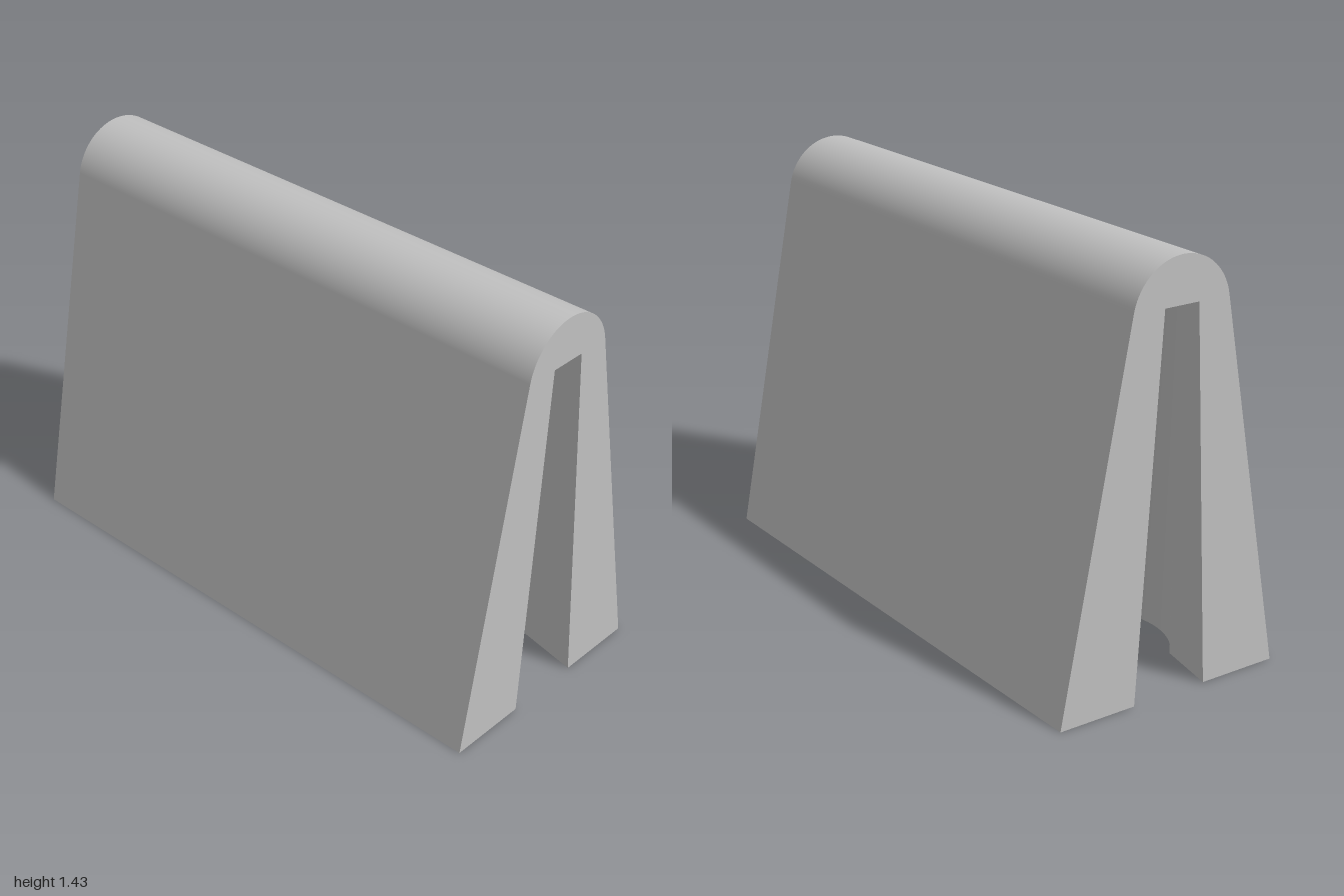
import * as THREE from 'three';

const HALF_LENGTH = 1, HALF_BASE = 0.425, TOP = 1.43;
const SLOT_TOP = 1.275, SLOT_HALF = 0.14, TAPER = 0.464;
const HOLE_R = 0.27, HOLE_DEPTH = 0.415, NECK_HALF = 0.182;

// Smooth strip between two matching rows of points
function loft(a, b) {
  const index = [], n = a.length;
  for (let i = 0; i < n - 1; i++) index.push(i, i + 1, n + i + 1, i, n + i + 1, n + i);
  const geo = new THREE.BufferGeometry().setFromPoints([...a, ...b]);
  geo.setIndex(index);
  geo.computeVertexNormals();
  return geo;
}

// Flat face in the xz plane, facing down
function downFace(points, y) {
  return new THREE.ShapeGeometry(new THREE.Shape(points)).rotateX(Math.PI / 2).translate(0, y, 0);
}

// Outer wedge profile with a rounded ridge, from +x foot to -x foot
function outerProfile() {
  const lean = Math.atan(0.19), r = 0.185, cy = TOP - r;
  const pts = [new THREE.Vector2(HALF_BASE, 0)];
  for (let i = 0; i <= 40; i++) {
    const t = lean + (Math.PI - 2 * lean) * i / 40;
    pts.push(new THREE.Vector2(r * Math.cos(t), cy + r * Math.sin(t)));
  }
  pts.push(new THREE.Vector2(-HALF_BASE, 0));
  return pts;
}

// Round part of the keyhole in (x, z), scaled about the middle of the end edge
function holeArc(s) {
  const t0 = Math.asin(NECK_HALF / HOLE_R), pts = [];
  for (let i = 0; i <= 48; i++) {
    const t = -t0 - (2 * Math.PI - 2 * t0) * i / 48;
    pts.push(new THREE.Vector2(HOLE_R * Math.sin(t) * s,
      HALF_LENGTH - (HOLE_DEPTH - HOLE_R * Math.cos(t)) * s));
  }
  return pts;
}

function keyhole(s) {
  return [new THREE.Vector2(-SLOT_HALF * s, HALF_LENGTH), ...holeArc(s),
    new THREE.Vector2(SLOT_HALF * s, HALF_LENGTH)];
}

export function createModel() {
  const grey = new THREE.MeshStandardMaterial({ color: 0xc0c0c0 });
  grey.name = 'grey';
  const model = new THREE.Group();
  model.name = 'slottedWedge';
  const add = (parent, name, geo) => {
    const mesh = new THREE.Mesh(geo, grey);
    mesh.name = name;
    parent.add(mesh);
  };

  // Sloping sides and rounded ridge
  const profile = outerProfile();
  const atZ = z => profile.map(p => new THREE.Vector3(p.x, p.y, z));
  add(model, 'outerSkin', loft(atZ(-HALF_LENGTH), atZ(HALF_LENGTH)));

  // Underside with a keyhole notch at both ends
  const low = keyhole(1), high = keyhole(TAPER);
  const corner = (x, z) => new THREE.Vector2(x * HALF_BASE, z * HALF_LENGTH);
  add(model, 'underside', downFace([
    ...low, corner(1, 1), corner(1, -1),
    ...low.map(p => p.clone().negate()), corner(-1, -1), corner(-1, 1),
  ], 0));

  // Each end: face with slot opening, slot walls, tapering round hole, ceiling
  for (const [name, turn] of [['frontEnd', 0], ['backEnd', Math.PI]]) {
    const end = new THREE.Group();
    end.name = name;
    end.rotation.y = turn;
    model.add(end);

    const s = SLOT_HALF * TAPER;
    const face = new THREE.Shape([...profile,
      new THREE.Vector2(-SLOT_HALF, 0), new THREE.Vector2(-s, SLOT_TOP),
      new THREE.Vector2(s, SLOT_TOP), new THREE.Vector2(SLOT_HALF, 0)]);
    add(end, 'endFace', new THREE.ShapeGeometry(face).translate(0, 0, HALF_LENGTH));

    const wall = (from, to) => loft(
      low.slice(from, to).map(p => new THREE.Vector3(p.x, 0, p.y)),
      high.slice(from, to).map(p => new THREE.Vector3(p.x, SLOT_TOP, p.y)));
    const n = low.length;
    add(end, 'slotWallRight', wall(0, 2));
    add(end, 'holeWall', wall(1, n - 1));
    add(end, 'slotWallLeft', wall(n - 2, n));
    add(end, 'slotCeiling', downFace(high, SLOT_TOP));
  }
  return model;
}
